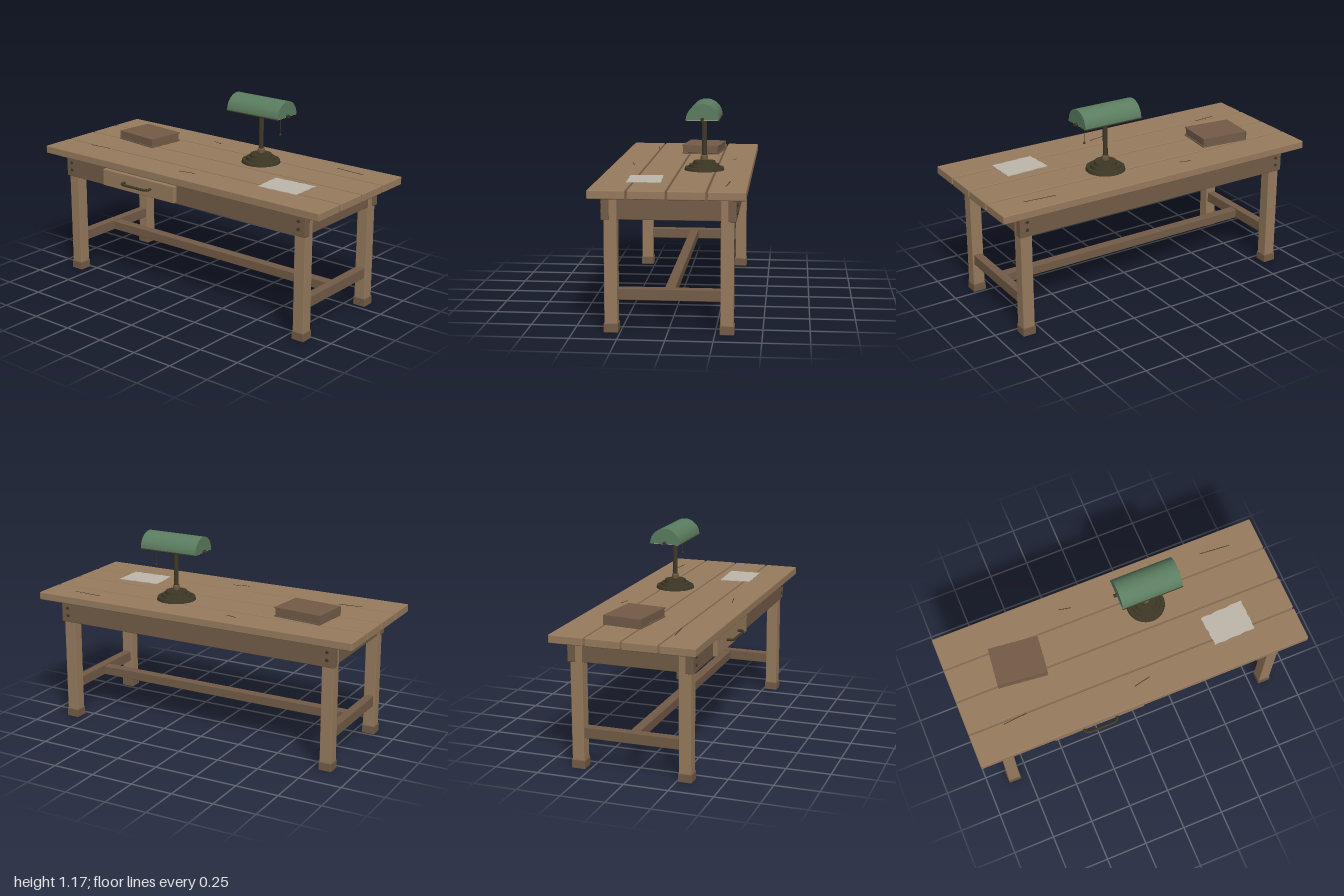
import * as THREE from 'three';
import { RoundedBoxGeometry } from 'three/addons/geometries/RoundedBoxGeometry.js';

const mat = (name, color, side = THREE.FrontSide) => {
  const m = new THREE.MeshStandardMaterial({ color, side });
  m.name = name;
  return m;
};

export function createModel() {
  const wood = mat('light wood', 0x977b5e);
  const darkWood = mat('dark wood', 0x735c47);
  const bronze = mat('dark bronze', 0x3f3926);
  const brass = mat('aged brass', 0x6b563b);
  const green = mat('green shade', 0x5b7d60);
  const paper = mat('paper', 0xbdb8a9);

  const model = new THREE.Group();
  model.name = 'writingDesk';

  const add = (name, geo, material, x = 0, y = 0, z = 0, parent = model) => {
    const mesh = new THREE.Mesh(geo, material);
    mesh.name = name;
    mesh.position.set(x, y, z);
    parent.add(mesh);
    return mesh;
  };
  // Box with softened edges
  const block = (name, w, h, d, material, x, y, z, bevel = 0.004, parent = model) =>
    add(name, new RoundedBoxGeometry(w, h, d, 1, bevel), material, x, y, z, parent);
  const group = (name, x, y, z) => {
    const g = new THREE.Group();
    g.name = name;
    g.position.set(x, y, z);
    model.add(g);
    return g;
  };

  // Table top: four planks with narrow gaps
  for (let i = 0; i < 4; i++) {
    block('topPlank', 2, 0.047, 0.197, wood, 0, 0.7575, 0.302 - i * 0.206, 0.006);
  }

  // Legs, feet, side rails and side stretchers
  const frontZ = 0.298, backZ = -0.314, midZ = (frontZ + backZ) / 2;
  for (const sx of [-1, 1]) {
    for (const z of [frontZ, backZ]) {
      block('leg', 0.07, 0.725, 0.07, wood, sx * 0.837, 0.37, z);
      block('foot', 0.078, 0.05, 0.078, darkWood, sx * 0.837, 0.025, z);
    }
    block('sideApron', 0.055, 0.12, 0.56, darkWood, sx * 0.842, 0.666, midZ);
    block('sideStretcher', 0.05, 0.063, 0.56, darkWood, sx * 0.837, 0.207, midZ);
  }
  block('longStretcher', 1.63, 0.055, 0.055, darkWood, 0, 0.204, midZ);

  // Front and back aprons with a pair of bolts at each corner
  for (const [z, face] of [[0.325, 1], [-0.34, -1]]) {
    block('apron', 1.76, 0.122, 0.043, darkWood, 0, 0.665, z);
    for (const sx of [-1, 1]) {
      for (const y of [0.645, 0.69]) {
        const bolt = add('bolt', new THREE.CylinderGeometry(0.009, 0.009, 0.008, 10), bronze,
          sx * 0.837, y, z + face * 0.0235);
        bolt.rotation.x = Math.PI / 2;
      }
    }
  }

  // Drawer front with a bar handle
  block('drawerFront', 0.55, 0.1, 0.03, wood, -0.281, 0.662, 0.356);
  const grip = new THREE.CatmullRomCurve3([
    [-0.1, 0.37], [-0.098, 0.397], [-0.08, 0.407], [0, 0.409], [0.08, 0.407], [0.098, 0.397], [0.1, 0.37],
  ].map(([x, z]) => new THREE.Vector3(x, 0, z)));
  add('drawerHandle', new THREE.TubeGeometry(grip, 32, 0.008, 8), bronze, -0.282, 0.662, 0);

  // Banker style desk lamp
  const lamp = group('deskLamp', 0.217, 0.781, -0.147);
  for (const [r, y, h] of [[0.113, 0, 0.017], [0.087, 0.017, 0.016], [0.066, 0.033, 0.018]]) {
    add('lampBase', new THREE.CylinderGeometry(r - 0.004, r, h, 32), bronze, 0, y + h / 2, 0, lamp);
  }
  add('lampCollar', new THREE.LatheGeometry([
    [0, 0.05], [0.02, 0.05], [0.021, 0.06], [0.021, 0.076], [0.018, 0.085], [0, 0.085],
  ].map(([r, y]) => new THREE.Vector2(r, y)), 20), brass, 0, 0, 0, lamp);
  add('lampPole', new THREE.CylinderGeometry(0.014, 0.014, 0.25, 16), bronze, 0, 0.176, 0, lamp);

  // Half-round shade, pale underside, rim and end knobs
  const shadeY = 0.297;
  const shade = add('lampShade', new THREE.CylinderGeometry(0.091, 0.091, 0.36, 32, 1, false, 0, Math.PI),
    green, 0, shadeY, 0, lamp);
  shade.rotation.z = Math.PI / 2;
  add('shadeUnderside', new THREE.BoxGeometry(0.356, 0.004, 0.178), paper, 0, shadeY, 0, lamp);
  for (const s of [-1, 1]) {
    const rim = add('shadeRim', new THREE.CylinderGeometry(0.004, 0.004, 0.364, 8), bronze,
      0, shadeY, s * 0.091, lamp);
    rim.rotation.z = Math.PI / 2;
    const knob = add('shadeKnob', new THREE.CylinderGeometry(0.01, 0.01, 0.018, 12), bronze,
      s * 0.187, shadeY + 0.006, 0, lamp);
    knob.rotation.z = Math.PI / 2;
  }
  add('pullChain', new THREE.CylinderGeometry(0.002, 0.002, 0.11, 6), bronze, 0.135, 0.243, 0, lamp);
  add('chainBall', new THREE.SphereGeometry(0.007, 12, 8), bronze, 0.135, 0.186, 0, lamp);

  // Closed book lying at a slight angle
  const book = group('book', -0.592, 0.781, -0.088);
  book.rotation.y = -0.11;
  block('bookPages', 0.282, 0.042, 0.218, darkWood, 0, 0.027, 0, 0.002, book);
  for (const y of [0.003, 0.051]) {
    add('bookCover', new THREE.BoxGeometry(0.292, 0.006, 0.228), darkWood, 0, y, 0, book);
  }
  add('bookSpine', new THREE.BoxGeometry(0.006, 0.054, 0.228), darkWood, -0.143, 0.027, 0, book);

  // Paper sheet with slightly uneven edges
  const corners = [[-0.132, 0.084], [0.127, 0.097], [0.131, -0.088], [-0.118, -0.096]];
  const outline = [];
  corners.forEach(([x, y], i) => {
    const [nx, ny] = corners[(i + 1) % 4];
    for (let k = 0; k < 8; k++) {
      const t = k / 8, w = 0.003 * Math.sin(k * 2.3 + i * 1.7);
      outline.push(new THREE.Vector2(x + (nx - x) * t + (i % 2 ? w : 0), y + (ny - y) * t + (i % 2 ? 0 : w)));
    }
  });
  const sheet = add('paperSheet', new THREE.ExtrudeGeometry(new THREE.Shape(outline),
    { depth: 0.004, bevelEnabled: false }), paper, 0.606, 0.782, 0.142);
  sheet.rotation.x = -Math.PI / 2;

  // Scratches on the planks
  for (const [x1, z1, x2, z2] of [
    [-0.26, -0.307, -0.19, -0.291], [0.634, -0.318, 0.82, -0.302],
    [-0.794, 0.217, -0.655, 0.205], [-0.035, 0.291, 0.067, 0.27],
  ]) {
    const scratch = add('scratch', new THREE.BoxGeometry(Math.hypot(x2 - x1, z2 - z1), 0.002, 0.004),
      bronze, (x1 + x2) / 2, 0.7815, (z1 + z2) / 2);
    scratch.rotation.y = -Math.atan2(z2 - z1, x2 - x1);
  }

  return model;
}
